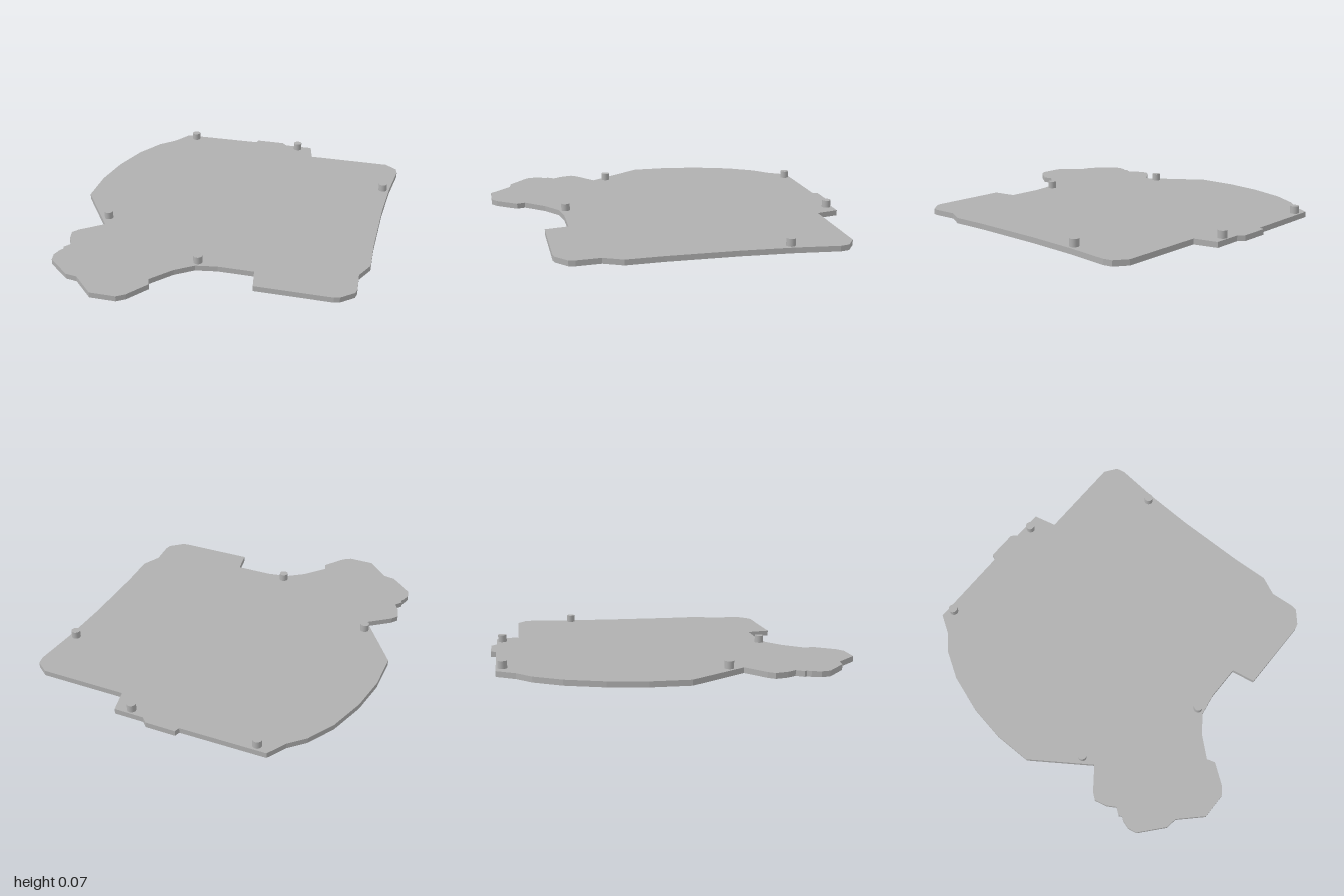
import * as THREE from 'three';

const PLATE = 0.031, PEG_TOP = 0.073, PEG_RADIUS = 0.025;

// Plate outline as x, z corners, clockwise seen from above
const OUTLINE = [
  // back edge with its raised tab
  [-0.56, -0.965], [-0.08, -0.97], [-0.07, -1], [0.1, -1], [0.13, -0.97], [0.3, -0.97], [0.33, -0.84], [0.82, -0.84],
  // left side
  [0.89, -0.79], [0.9, -0.74], [0.875, -0.5], [0.86, -0.21], [0.856, 0.19], [0.863, 0.395], [0.813, 0.5], [0.822, 0.635],
  // front edge and notch
  [0.815, 0.67], [0.745, 0.73], [0.715, 0.738], [0.29, 0.738], [0.267, 0.605], [0.065, 0.605], [-0.055, 0.625],
  // lobe at the front right
  [-0.155, 0.695], [-0.255, 0.808], [-0.24, 0.855], [-0.325, 0.97], [-0.37, 1], [-0.515, 1], [-0.635, 0.878],
  [-0.7, 0.868], [-0.83, 0.755], [-0.84, 0.705], [-0.825, 0.655], [-0.81, 0.635], [-0.82, 0.62], [-0.79, 0.58],
  [-0.82, 0.53], [-0.837, 0.46], [-0.81, 0.425], [-0.685, 0.33],
  // curved right side
  [-0.905, 0.01], [-0.905, -0.21], [-0.87, -0.42], [-0.8, -0.63], [-0.71, -0.78], [-0.625, -0.86],
];

const PEGS = [[-0.495, -0.93], [0.215, -0.937], [0.835, -0.488], [-0.692, 0.248], [-0.05, 0.585]];

export function createModel() {
  const group = new THREE.Group();
  group.name = 'pinnedPlate';
  const grey = new THREE.MeshStandardMaterial({ color: 0xb0b0b0 });
  grey.name = 'grey';

  // Flat base plate
  const shape = new THREE.Shape(OUTLINE.map(([x, z]) => new THREE.Vector2(x, -z)));
  const plateGeometry = new THREE.ExtrudeGeometry(shape, { depth: PLATE, bevelEnabled: false });
  plateGeometry.rotateX(-Math.PI / 2);
  const plate = new THREE.Mesh(plateGeometry, grey);
  plate.name = 'basePlate';
  group.add(plate);

  // Locating pegs standing on the plate
  const pegGeometry = new THREE.CylinderGeometry(PEG_RADIUS, PEG_RADIUS, PEG_TOP - PLATE, 32);
  PEGS.forEach(([x, z], i) => {
    const peg = new THREE.Mesh(pegGeometry, grey);
    peg.name = `peg${i + 1}`;
    peg.position.set(x, (PLATE + PEG_TOP) / 2, z);
    group.add(peg);
  });

  return group;
}
